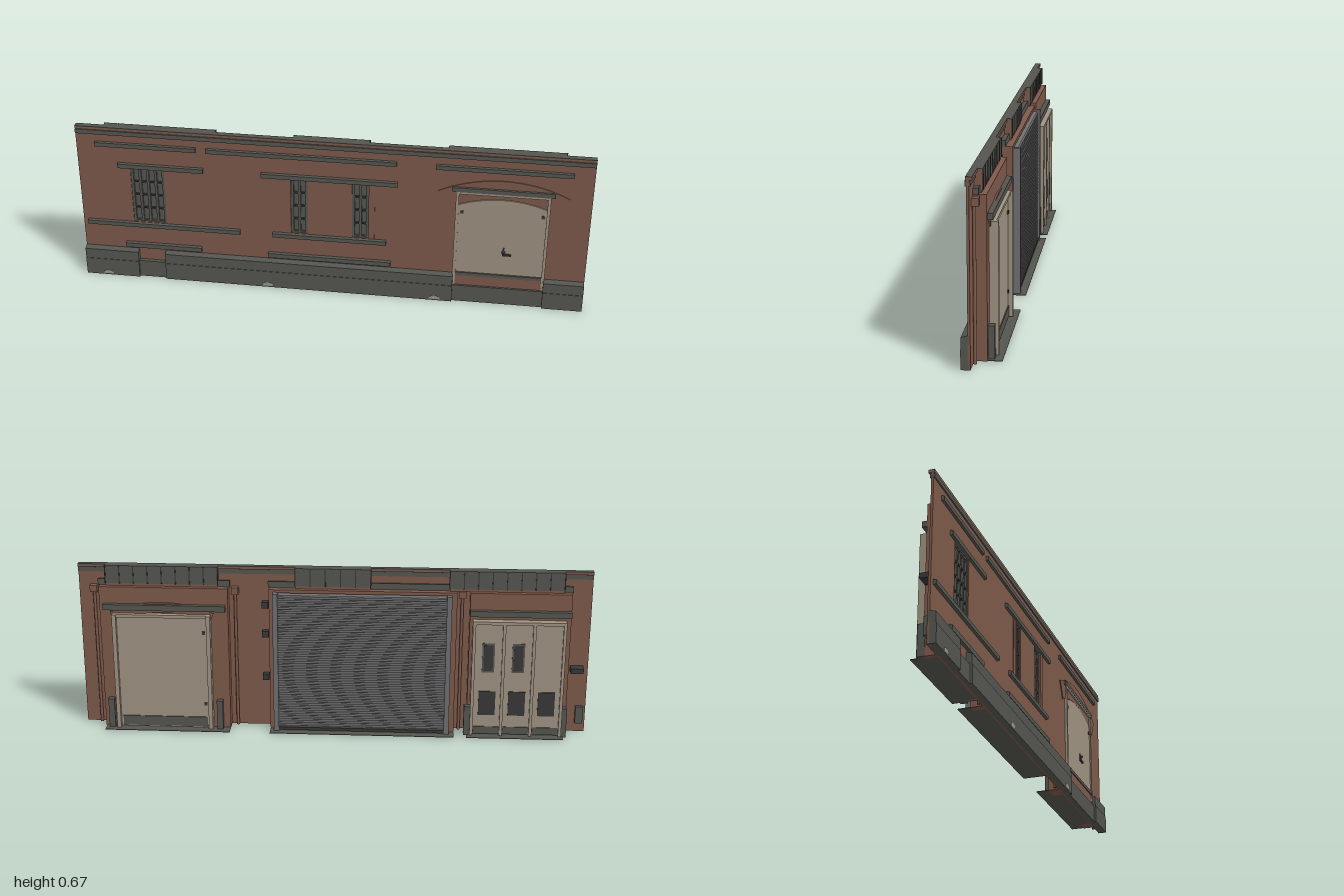
import * as THREE from 'three';

const material = (name, color) => {
  const m = new THREE.MeshStandardMaterial({ color });
  m.name = name;
  return m;
};

export function createModel() {
  const model = new THREE.Group();
  model.name = 'warehouseWall';
  const brick = material('brick', 0x7f5a4b);
  const stone = material('grey stone', 0x555550);
  const cream = material('cream paint', 0x9f9382);
  const steel = material('shutter steel', 0x707072);
  const dark = material('dark metal', 0x383838);
  const lampGlass = material('lamp glass', 0x9a9a96);

  const add = (name, geo, mat) => {
    const m = new THREE.Mesh(geo, mat);
    m.name = name;
    model.add(m);
    return m;
  };
  // Box given by its limits on each axis
  const box = (name, mat, x0, x1, y0, y1, z0, z1) => {
    const m = add(name, new THREE.BoxGeometry(x1 - x0, y1 - y0, z1 - z0), mat);
    m.position.set((x0 + x1) / 2, (y0 + y1) / 2, (z0 + z1) / 2);
    return m;
  };
  const rect = (shape, x0, x1, y0, y1) =>
    shape.moveTo(x0, y0).lineTo(x1, y0).lineTo(x1, y1).lineTo(x0, y1).closePath();
  const plate = (name, shape, mat, z0, z1) => {
    const geo = new THREE.ExtrudeGeometry(shape, { depth: z1 - z0, bevelEnabled: false, curveSegments: 20 });
    return add(name, geo.translate(0, 0, z0), mat);
  };
  // Course with a sloping top, built from a side profile
  const course = (name, x0, x1, y0, y1, z0, z1, drop) => {
    const s = new THREE.Shape();
    s.moveTo(-z1, y0).lineTo(-z0, y0).lineTo(-z0, y1).lineTo(-z1, y1 - drop).closePath();
    const geo = new THREE.ExtrudeGeometry(s, { depth: x1 - x0, bevelEnabled: false });
    geo.rotateY(Math.PI / 2).translate(x0, 0, 0);
    return add(name, geo, stone);
  };

  // Main wall with window openings
  const windows = [[-0.792, -0.658, 4], [-0.155, -0.09, 2], [0.085, 0.15, 2]];
  const wall = new THREE.Shape();
  rect(wall, -1, 1, 0, 0.66);
  for (const [a, b] of windows) {
    const hole = new THREE.Path();
    rect(hole, a, b, 0.25, 0.495);
    wall.holes.push(hole);
  }
  plate('wall', wall, brick, 0.029, 0.038);

  // Cornice and parapet
  box('parapetCap', stone, -1, 1, 0.664, 0.667, 0.018, 0.041);
  box('parapetEdge', brick, -1, 1, 0.655, 0.664, 0.018, 0.041);
  box('corniceBand', stone, -1, 1, 0.635, 0.653, 0.024, 0.043);

  // Barred windows
  for (const [a, b, n] of windows) {
    box('windowPane', stone, a, b, 0.25, 0.495, 0.02, 0.026);
    for (let i = 0; i <= n; i++) {
      const x = a + 0.005 + (b - a - 0.01) * i / n;
      box('windowBar', stone, x - 0.005, x + 0.005, 0.25, 0.495, 0.024, 0.034);
    }
    for (let i = 0; i <= 4; i++) {
      const y = 0.255 + 0.235 * i / 4;
      box('windowRail', i % 4 ? dark : stone, a, b, y - 0.003, y + 0.003, 0.024, 0.033);
    }
  }
  for (const x of [-0.167, 0.162]) box('windowPost', brick, x - 0.012, x + 0.012, 0.25, 0.495, 0.03, 0.041);

  // Stone lintels, sills and string courses on the front
  for (const [a, b] of [[-0.925, -0.525], [-0.485, 0.255], [0.405, 0.922]])
    course('upperCourse', a, b, 0.585, 0.61, 0.01, 0.048, 0.008);
  for (const [a, b] of [[-0.84, -0.5], [-0.27, 0.26], [0.47, 0.86]])
    course('lintel', a, b, 0.495, 0.517, 0.03, 0.049, 0.004);
  for (const [a, b] of [[-0.98, -0.36], [-0.23, 0.22]])
    course('windowSill', a, b, 0.229, 0.25, 0.03, 0.05, 0.004);
  for (const [a, b] of [[-0.83, -0.52], [-0.25, 0.24]])
    course('lowerCourse', a, b, 0.132, 0.155, 0.03, 0.05, 0.004);

  // Plinth, set back at the small opening and the front door
  for (const [a, b] of [[-1, -0.78], [-0.67, 0.488], [0.842, 1]]) {
    box('plinth', stone, a, b, 0, 0.073, 0.03, 0.063);
    course('plinthTop', a, b, 0.073, 0.125, 0.03, 0.061, 0.009);
  }
  for (const [a, b] of [[-0.78, -0.67], [0.488, 0.842]]) box('plinthRecess', stone, a, b, 0, 0.073, 0.03, 0.054);
  box('doorStepBrick', brick, 0.497, 0.833, 0.073, 0.118, 0.03, 0.046);
  box('doorThreshold', stone, 0.497, 0.833, 0.118, 0.132, 0.03, 0.05);
  for (const x of [-0.91, -0.25, 0.42]) {
    const lamp = add('groundLamp', new THREE.CylinderGeometry(0.022, 0.022, 0.003, 16, 1, false, -Math.PI / 2, Math.PI), lampGlass);
    lamp.rotation.x = -Math.PI / 2;
    lamp.scale.z = 0.7;
    lamp.position.set(x, 0.006, 0.063);
  }

  // Front door under a flat brick arch
  const up = Math.PI / 2, spread = 0.472;
  const ring = (cx, r0, r1, a) => {
    const s = new THREE.Shape();
    s.absarc(cx, 0, r1, up - a, up + a, false);
    s.absarc(cx, 0, r0, up + a, up - a, true);
    return s;
  };
  plate('frontArch', ring(0.665, 0.47, 0.55, spread), brick, 0.034, 0.042);
  const leaf = new THREE.Shape();
  leaf.moveTo(0.495, 0.13).lineTo(0.835, 0.13);
  leaf.absarc(0.665, 0, 0.468, up - 0.372, up + 0.372, false);
  plate('frontDoor', leaf, cream, 0.034, 0.043);
  for (const x of [0.491, 0.839]) box('frontDoorFrame', cream, x - 0.006, x + 0.006, 0.073, 0.49, 0.034, 0.048);
  box('frontDoorHead', cream, 0.485, 0.845, 0.486, 0.495, 0.034, 0.048);
  box('doorHandle', dark, 0.675, 0.71, 0.222, 0.229, 0.043, 0.05);
  box('doorLockPlate', dark, 0.676, 0.682, 0.222, 0.255, 0.043, 0.046);
  add('doorKnob', new THREE.SphereGeometry(0.007, 12, 8), dark).position.set(0.679, 0.24, 0.05);
  for (const x of [0.51, 0.82]) box('doorHinge', dark, x - 0.006, x + 0.006, 0.4, 0.412, 0.043, 0.046);

  // Brick portals on the back, with openings for doors and shutter
  const portals = [[0.41, 0.915, 0.48, 0.86, 0.48], [-0.48, 0.25, -0.45, 0.225, 0.572], [-0.92, -0.53, -0.9, -0.545, 0.48]];
  for (const [a, b, c, d, h] of portals) {
    const s = new THREE.Shape();
    s.moveTo(a, 0).lineTo(c, 0).lineTo(c, h).lineTo(d, h).lineTo(d, 0).lineTo(b, 0).lineTo(b, 0.585).lineTo(a, 0.585).closePath();
    plate('backPortal', s, brick, -0.016, 0.029);
    box('loadingSill', stone, Math.max(a, -0.91), Math.min(b, 0.91), 0, 0.002, -0.066, 0.029);
  }
  for (const [a, b] of [[0.42, 0.9], [-0.92, -0.53]])
    box('backLintel', stone, a, b, 0.495, 0.518, -0.035, -0.01);
  for (const x of [0.45, 0.885, -0.53, -0.91])
    box('cornerGuard', stone, x - 0.012, x + 0.012, 0, 0.122, -0.038, -0.01);

  // Parapet blocks with ribbed metal cladding on the back
  for (const [a, b] of [[0.45, 0.89], [-0.145, 0.148], [-0.89, -0.45]]) {
    box('parapetBlock', brick, a, b, 0.585, 0.665, 0.003, 0.029);
    box('claddingTop', stone, a, b, 0.664, 0.667, 0, 0.02);
    box('cladding', stone, a, b, 0.595, 0.666, 0, 0.003);
    const n = Math.round((b - a) / 0.055);
    for (let i = 0; i <= n; i++) {
      const x = a + (b - a) * i / n;
      box('claddingRib', dark, x - 0.002, x + 0.002, 0.595, 0.666, -0.003, 0.002);
    }
  }

  // Roller shutter with slats and guides
  const slats = 38;
  const profile = new THREE.Shape();
  profile.moveTo(-0.01, 0.005);
  for (let i = 0; i < slats; i++) {
    const y = 0.005 + 0.562 * i / slats;
    profile.lineTo(0.029, y).lineTo(0.034, y + 0.003).lineTo(0.034, y + 0.011);
  }
  profile.lineTo(0.029, 0.567).lineTo(-0.01, 0.567).closePath();
  const shutter = new THREE.ExtrudeGeometry(profile, { depth: 0.665, bevelEnabled: false });
  add('rollerShutter', shutter.rotateY(Math.PI / 2).translate(-0.445, 0, 0), steel);
  for (const x of [-0.45, 0.224]) box('shutterGuide', steel, x - 0.01, x + 0.01, 0, 0.575, -0.043, 0);
  box('shutterBottomBar', dark, -0.44, 0.214, 0.005, 0.017, -0.038, -0.028);

  // Single back door
  box('backDoor', cream, 0.49, 0.85, 0.005, 0.468, -0.03, 0.01);
  box('backDoorKickPlate', stone, 0.5, 0.84, 0.01, 0.05, -0.034, -0.03);
  for (const x of [0.486, 0.856]) box('backDoorJamb', cream, x - 0.008, x + 0.008, 0.005, 0.48, -0.048, 0);
  box('backDoorHead', cream, 0.478, 0.864, 0.468, 0.48, -0.04, 0);
  plate('backArch', ring(0.67, 0.485, 0.525, 0.4), brick, -0.022, -0.012);
  for (const y of [0.1, 0.4]) box('backDoorHinge', dark, 0.5, 0.512, y, y + 0.012, -0.034, -0.03);

  // Three-leaf back door with glazing and vents
  for (let i = 0; i < 3; i++) {
    const x = -0.606 - i * 0.116;
    box('foldingLeaf', cream, x - 0.054, x + 0.054, 0.008, 0.468, -0.038, 0.01);
    if (i < 2) {
      box('leafWindowFrame', stone, x - 0.024, x + 0.024, 0.27, 0.39, -0.041, -0.038);
      box('leafWindow', dark, x - 0.018, x + 0.018, 0.277, 0.383, -0.043, -0.038);
    }
    box('leafVent', dark, x - 0.033, x + 0.033, 0.09, 0.19, -0.042, -0.038);
    box('leafKickPlate', stone, x - 0.05, x + 0.05, 0.01, 0.04, -0.041, -0.038);
  }
  for (let i = 0; i < 4; i++) {
    const x = -0.548 - i * 0.116;
    box('foldingDoorPost', cream, x - 0.006, x + 0.006, 0.005, 0.48, -0.048, 0);
  }
  box('foldingDoorHead', cream, -0.902, -0.542, 0.468, 0.48, -0.048, 0);

  // Downpipes, wall lamps and switch boxes on the back
  for (const x of [0.385, 0.94, -0.5]) {
    add('downpipe', new THREE.CylinderGeometry(0.006, 0.006, 0.575, 10), brick).position.set(x, 0.2875, 0.022);
    box('pipeHopper', brick, x - 0.014, x + 0.014, 0.555, 0.583, 0.004, 0.029);
  }
  for (const y of [0.2, 0.38, 0.5]) box('shutterSwitch', dark, 0.255, 0.28, y, y + 0.025, 0.004, 0.029);
  box('wallLamp', dark, -0.98, -0.93, 0.26, 0.28, -0.012, 0.029);
  box('meterBox', stone, -0.99, -0.96, 0.04, 0.11, 0.012, 0.029);
  return model;
}
